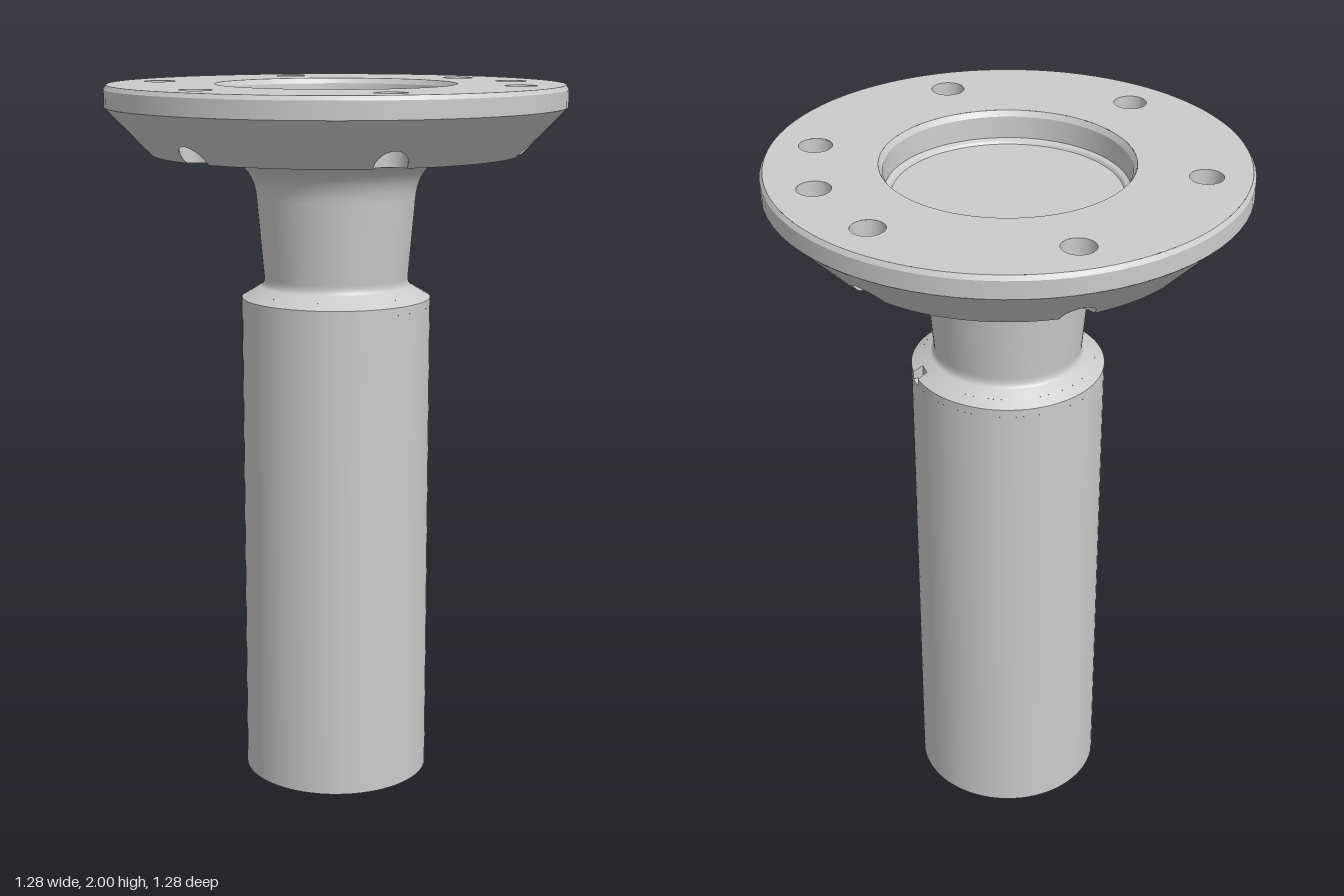
import * as THREE from 'three';

const RIM = 0.64, HOLE_R = 0.045, PITCH = 0.515;
// radius where the hole circle is touched by a ray from the axis; the underside kinks here
const KINK = Math.sqrt(PITCH ** 2 - HOLE_R ** 2);
const HALF = Math.asin(HOLE_R / PITCH);
const BASE_Y = 1.81, CONE_Y = 1.94, TOP_Y = 2;
const STEP = Math.PI / 6;

const material = new THREE.MeshStandardMaterial({ color: 0xcccccc });
const thinMaterial = new THREE.MeshStandardMaterial({ color: 0xcccccc, side: THREE.DoubleSide });

function add(parent, geometry, name, mat = material) {
  const mesh = new THREE.Mesh(geometry, mat);
  mesh.name = name;
  parent.add(mesh);
  return mesh;
}

function lathe(points, start = 0, length = Math.PI * 2, segments = 72) {
  return new THREE.LatheGeometry(points.map(p => new THREE.Vector2(...p)), segments, start, length);
}

// Surface between two curves around an axis at x = cx, each giving [radius, y] for an angle
function strip(angles, curveA, curveB, cx = 0) {
  const pos = [], index = [];
  angles.forEach((t, i) => {
    for (const [r, y] of [curveA(t), curveB(t)]) pos.push(cx + r * Math.cos(t), y, r * Math.sin(t));
    if (i) {
      const a = 2 * i - 2;
      index.push(a, a + 1, a + 2, a + 1, a + 3, a + 2);
    }
  });
  const g = new THREE.BufferGeometry();
  g.setAttribute('position', new THREE.Float32BufferAttribute(pos, 3));
  g.setIndex(index);
  g.computeVertexNormals();
  return g;
}

// Underside height of the flange
const underside = r => BASE_Y + (CONE_Y - BASE_Y) * Math.max(0, (r - KINK) / (RIM - KINK));

// Near (-1) or far (+1) edge of the hole in a given direction, or the kink circle between holes
function holeEdge(t, side, hasHole) {
  const slot = Math.round(t / STEP), d = t - slot * STEP;
  if (!hasHole(slot) || Math.abs(d) >= HALF) return KINK;
  const s = HOLE_R ** 2 - (PITCH * Math.sin(d)) ** 2;
  return PITCH * Math.cos(d) + side * Math.sqrt(Math.max(0, s));
}

function createFlange() {
  const flange = new THREE.Group();
  flange.name = 'flange';
  const through = k => k % 2 === 1;
  const drilled = k => through(k) || k % 12 === 0;

  // directions packed tightly around each hole
  const angles = [];
  for (let k = 0; k < 12; k++) {
    for (let j = -8; j <= 8; j++) angles.push(k * STEP + HALF * Math.sin(j / 8 * Math.PI / 2));
    for (let j = 1; j < 5; j++) angles.push(k * STEP + HALF + (STEP - 2 * HALF) * j / 5);
  }
  angles.push(2 * Math.PI - HALF);

  add(flange, strip(angles, t => [holeEdge(t, -1, drilled), TOP_Y], () => [0.335, TOP_Y]), 'topFaceInner');
  add(flange, strip(angles, () => [RIM - 0.008, TOP_Y], t => [holeEdge(t, 1, drilled), TOP_Y]), 'topFaceOuter');
  add(flange, strip(angles, () => [0.41, BASE_Y], t => [holeEdge(t, -1, through), BASE_Y]), 'undersideRing');
  add(flange, strip(angles, t => {
    const r = holeEdge(t, 1, through);
    return [r, underside(r)];
  }, () => [RIM, CONE_Y]), 'undersideCone');
  add(flange, lathe([[RIM, CONE_Y], [RIM, 1.988]]), 'rim');
  add(flange, lathe([[RIM, 1.988], [RIM - 0.008, TOP_Y]]), 'rimChamfer');

  // through holes, cut off along the sloping underside
  const circle = Array.from({ length: 33 }, (_, i) => i / 32 * Math.PI * 2);
  const bore = strip(circle, () => [HOLE_R, TOP_Y], t => {
    const r = Math.hypot(PITCH + HOLE_R * Math.cos(t), HOLE_R * Math.sin(t));
    return [HOLE_R, underside(r)];
  }, PITCH);
  for (let k = 1; k < 12; k += 2) add(flange, bore, 'boltHole').rotation.y = -k * STEP;

  // blind hole with a drill point
  for (const part of [[[HOLE_R, TOP_Y], [HOLE_R, 1.9]], [[HOLE_R, 1.9], [0, 1.875]]]) {
    add(flange, lathe(part, 0, Math.PI * 2, 32), 'blindHole').position.x = PITCH;
  }

  // central recess, one piece per sharp edge
  const recess = [[0.335, TOP_Y], [0.325, 1.985], [0.322, 1.925], [0.31, 1.92], [0.305, 1.913], [0, 1.913]];
  for (let i = 1; i < recess.length; i++) add(flange, lathe([recess[i - 1], recess[i]]), 'recess');
  return flange;
}

function createShaft() {
  const shaft = new THREE.Group();
  shaft.name = 'shaft';
  const R = 0.267, floorY = 1.385, edgeY = 1.407, backR = 0.24, backY = 1.423;
  add(shaft, lathe([[0, 0], [R, 0]]), 'shaftEnd');
  add(shaft, lathe([[R, 0], [R, floorY]]), 'shaftSide');

  // top band and chamfer, left open at +x for the small notch
  const half = 0.08, start = Math.PI / 2 + half, sweep = 2 * Math.PI - 2 * half;
  add(shaft, lathe([[R, floorY], [R, edgeY]], start, sweep), 'shaftTopBand');
  add(shaft, lathe([[R, edgeY], [backR, backY]], start, sweep), 'shoulderEdge');
  add(shaft, lathe([[backR, backY], [0.212, 1.44]]), 'shoulder');

  const notch = new THREE.Group();
  notch.name = 'notch';
  shaft.add(notch);
  const from = Math.PI / 2 - half;
  add(notch, lathe([[R, floorY], [backR, floorY]], from, 2 * half, 4), 'notchFloor');
  add(notch, lathe([[backR, floorY], [backR, backY]], from, 2 * half, 4), 'notchBack');
  const cheek = new THREE.ShapeGeometry(new THREE.Shape(
    [[backR, floorY], [R, floorY], [R, edgeY], [backR, backY]].map(p => new THREE.Vector2(...p))));
  for (const s of [-1, 1]) add(notch, cheek, 'notchSide', thinMaterial).rotation.y = s * half;

  // tapered neck with a small fillet below and a large one into the flange
  const low = new THREE.QuadraticBezierCurve(
    new THREE.Vector2(0.212, 1.44), new THREE.Vector2(0.203, 1.446), new THREE.Vector2(0.204, 1.465));
  const high = new THREE.CubicBezierCurve(
    new THREE.Vector2(0.224, 1.69), new THREE.Vector2(0.231, 1.765),
    new THREE.Vector2(0.275, 1.803), new THREE.Vector2(0.36, 1.803));
  const profile = [...low.getPoints(5), ...high.getPoints(14)].map(p => [p.x, p.y]);
  add(shaft, lathe([...profile, [0.41, 1.803]]), 'neck');
  add(shaft, lathe([[0.41, 1.803], [0.41, BASE_Y]]), 'neckStep');
  return shaft;
}

export function createModel() {
  const model = new THREE.Group();
  model.name = 'flangedShaft';
  model.add(createShaft(), createFlange());
  return model;
}
